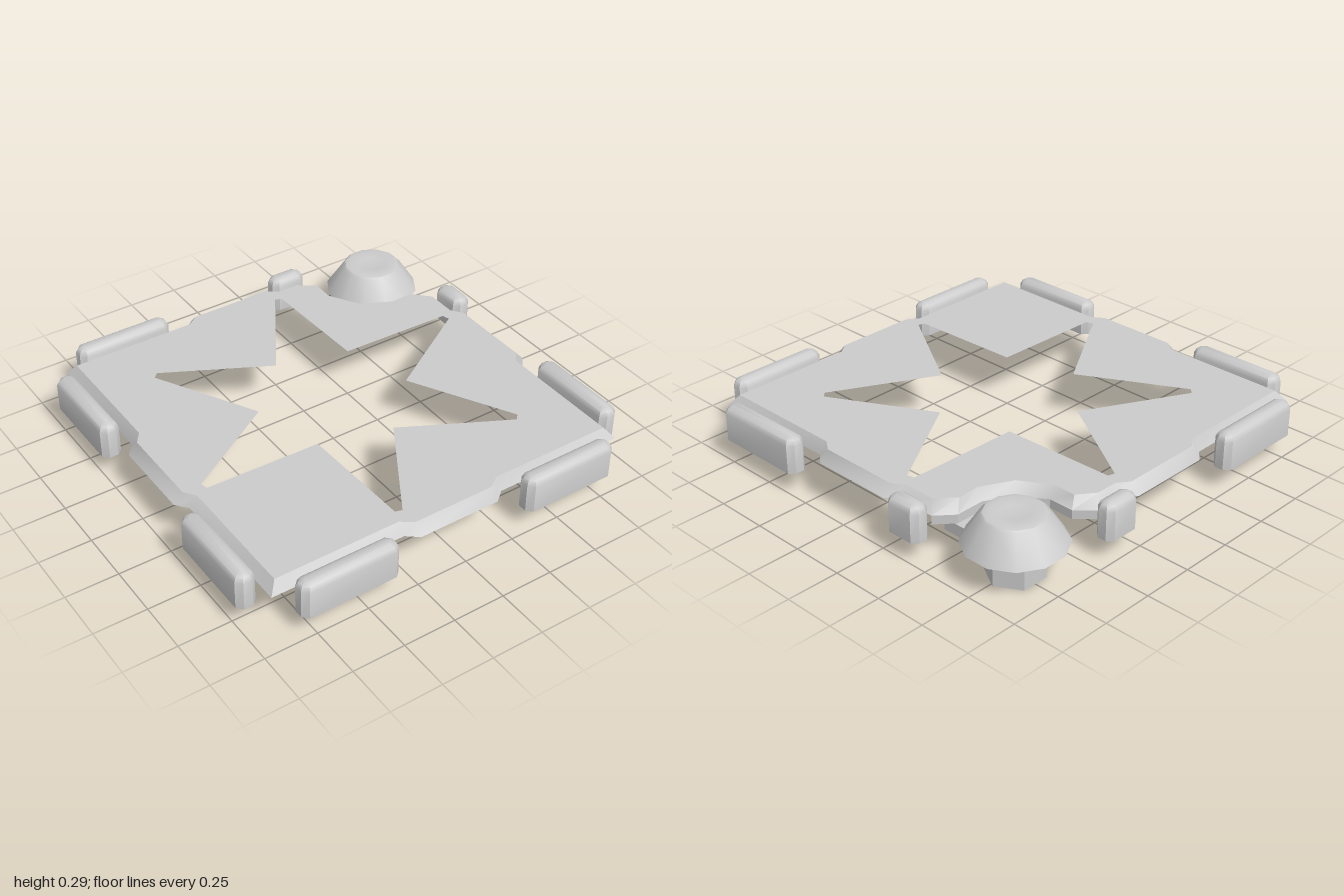
import * as THREE from 'three';
import { toCreasedNormals } from 'three/addons/utils/BufferGeometryUtils.js';

const material = new THREE.MeshStandardMaterial({ color: 0xcccccc, side: THREE.DoubleSide });

function addMesh(parent, name, geometry, x = 0, y = 0, z = 0) {
  const mesh = new THREE.Mesh(geometry, material);
  mesh.name = name;
  mesh.position.set(x, y, z);
  parent.add(mesh);
  return mesh;
}

// Skin rings of [x, z] points, each at its own height, bottom to top
function loft(rings, { closed = true, caps = false } = {}) {
  const pos = [], index = [], n = rings[0].points.length;
  rings.forEach(({ y, points }) => points.forEach(([x, z]) => pos.push(x, y, z)));
  for (let r = 0; r < rings.length - 1; r++) {
    for (let i = 0; i < (closed ? n : n - 1); i++) {
      const j = (i + 1) % n, a = r * n, b = a + n;
      index.push(a + i, a + j, b + j, a + i, b + j, b + i);
    }
  }
  if (caps) {
    const top = (rings.length - 1) * n;
    for (let i = 1; i < n - 1; i++) index.push(0, i + 1, i, top, top + i, top + i + 1);
  }
  const g = new THREE.BufferGeometry();
  g.setAttribute('position', new THREE.Float32BufferAttribute(pos, 3));
  g.setIndex(index);
  g.computeVertexNormals();
  return toCreasedNormals(g, 0.6);
}

// Rectangle with cut corners, counter-clockwise from above
function cutRect(hx, hz, c) {
  return [[hx, hz - c], [hx, c - hz], [hx - c, -hz], [c - hx, -hz],
    [-hx, c - hz], [-hx, hz - c], [c - hx, hz], [hx - c, hz]];
}

function bumperGeometry(length) {
  const ring = (y, inset) => ({ y, points: cutRect(length / 2 - inset, 0.047 - inset, 0.026 - inset * 0.4) });
  return loft([ring(0.1, 0), ring(0.235, 0), ring(0.257, 0.01), ring(0.27, 0.03)], { caps: true });
}

// Square outline with a raised tab on each side and a notch at the rear +x corner
function plateOutline(half, tab, notch) {
  const right = [[half, half], [half, 0.255], [tab, 0.2], [tab, -0.2], [half, -0.255]];
  const turn = (pts) => pts.map(([x, z]) => [z, -x]);
  const back = turn(right).slice(1), left = turn(turn(right)), front = turn(turn(turn(right)));
  return [...right, ...notch, ...back, ...left, ...front];
}

export function createModel() {
  const group = new THREE.Group();

  // Plate with a six-pointed cut-out
  const outerNotch = [[0.9, -0.44], [0.82, -0.51], [0.68, -0.51], [0.56, -0.58],
    [0.475, -0.7], [0.475, -0.82], [0.4, -0.9]];
  const innerNotch = [[0.86, -0.4], [0.78, -0.48], [0.67, -0.475], [0.525, -0.55],
    [0.44, -0.69], [0.44, -0.8], [0.36, -0.86]];
  const outer = plateOutline(0.9, 0.945, outerNotch);
  const inner = plateOutline(0.86, 0.9, innerNotch);
  const halfStar = [[0.2, -0.81], [0.232, -0.8], [0.25, -0.25], [0.8, -0.235], [0.81, -0.2],
    [0.342, 0.09], [0.605, 0.575], [0.58, 0.6], [0.09, 0.342]];
  const star = [...halfStar, ...halfStar.map(([x, z]) => [-x, -z])];
  const toVec = ([x, z]) => new THREE.Vector2(x, -z);
  const shape = new THREE.Shape(inner.map(toVec));
  shape.holes.push(new THREE.Path(star.map(toVec)));
  addMesh(group, 'starPlate', new THREE.ShapeGeometry(shape).rotateX(-Math.PI / 2), 0, 0.247, 0);

  // Sloping rim, with a deeper wall around the notch
  addMesh(group, 'plateRim', loft([{ y: 0.197, points: outer }, { y: 0.247, points: inner }]));
  addMesh(group, 'notchWall', loft([{ y: 0.155, points: outerNotch }, { y: 0.197, points: outerNotch }],
    { closed: false }));

  // Bumpers around the edge: [x, z, length, runs along z]
  const bumpers = [
    [-0.572, 0.952, 0.475], [0.572, 0.952, 0.475],
    [-0.572, -0.952, 0.475], [0.35, -0.952, 0.18],
    [-0.952, 0.572, 0.475, true], [0.952, 0.572, 0.475, true],
    [-0.952, -0.575, 0.475, true], [0.952, -0.355, 0.18, true],
  ];
  for (const [x, z, length, alongZ] of bumpers) {
    const mesh = addMesh(group, 'bumper', bumperGeometry(length), x, 0, z);
    if (alongZ) mesh.rotation.y = Math.PI / 2;
  }

  // Corner post: hexagonal stem, hollow cap with a dished top, link to the plate
  const post = new THREE.Group();
  post.name = 'cornerPost';
  post.position.set(0.748, 0, -0.763);
  group.add(post);
  const stem = new THREE.CylinderGeometry(0.131, 0.131, 0.24, 6, 1, false, Math.PI / 2);
  addMesh(post, 'stem', toCreasedNormals(stem, 0.6), 0, 0.12, 0);
  const profile = [[0.228, 0.155], [0.147, 0.278], [0.135, 0.289], [0.11, 0.295], [0.06, 0.288], [0, 0.284]]
    .map(([r, y]) => new THREE.Vector2(r, y));
  const cap = new THREE.LatheGeometry(profile, 12, Math.PI / 12);
  addMesh(post, 'cap', toCreasedNormals(cap, 0.5));
  addMesh(group, 'postLink', new THREE.BoxGeometry(0.22, 0.055, 0.24), 0.72, 0.1275, -0.56);

  return group;
}
